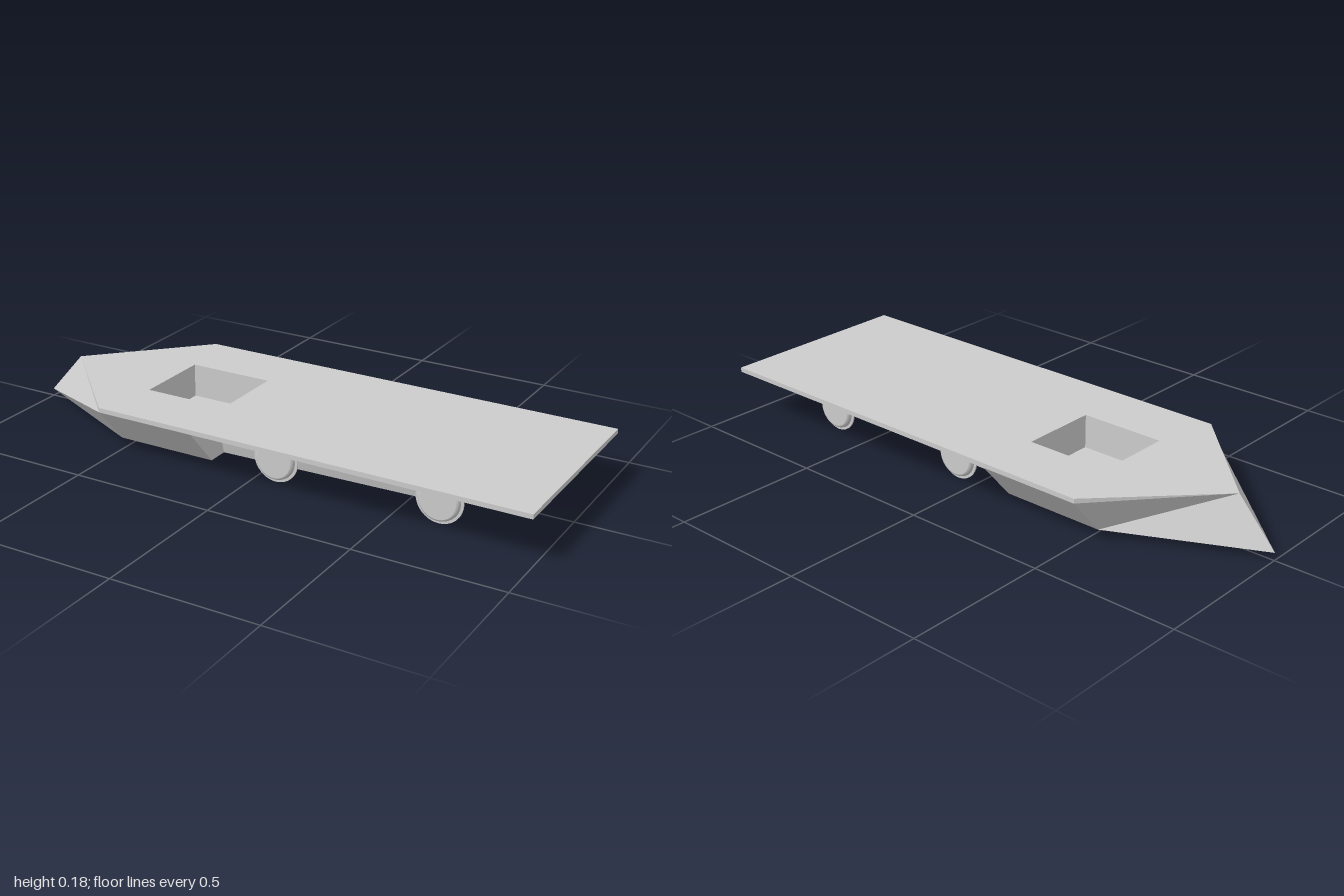
import * as THREE from 'three';

const TOP = 0.177, UNDER = 0.161, BELLY = 0.026;
const mat = new THREE.MeshStandardMaterial({ color: 0xcccccc, flatShading: true });
const smoothMat = new THREE.MeshStandardMaterial({ color: 0xcccccc });

const mirrorZ = ([x, y, z]) => [x, y, -z];

// Mesh from flat convex faces; each face is [corners, outward direction]
function faceMesh(name, faces) {
  const pos = [];
  for (const [corners, out] of faces) {
    const p = corners.map((c) => new THREE.Vector3(...c));
    const n = p[1].clone().sub(p[0]).cross(p[2].clone().sub(p[0]));
    if (n.dot(new THREE.Vector3(...out)) < 0) p.reverse();
    for (let i = 1; i < p.length - 1; i++) {
      for (const v of [p[0], p[i], p[i + 1]]) pos.push(v.x, v.y, v.z);
    }
  }
  const g = new THREE.BufferGeometry();
  g.setAttribute('position', new THREE.Float32BufferAttribute(pos, 3));
  g.computeVertexNormals();
  const mesh = new THREE.Mesh(g, mat);
  mesh.name = name;
  return mesh;
}

// Adds the mirrored copy of every face
const bothSides = (faces) =>
  faces.flatMap(([c, out]) => [[c, out], [c.map(mirrorZ), mirrorZ(out)]]);

export function createModel() {
  const model = new THREE.Group();
  model.name = 'flatRailCar';

  // Key points on the +z side
  const tip = [-1, BELLY, 0], apex = [-0.865, TOP, 0];
  const cornerTop = [-0.52, TOP, 0.35], corner = [-0.52, UNDER, 0.35];
  const chine = [-0.52, BELLY, 0.232];
  const stepTop = [-0.16, UNDER, 0.35], stepChine = [-0.16, BELLY, 0.232];
  const bodyTop = [-0.16, UNDER, 0.195], bodyLow = [-0.16, BELLY, 0.158];
  const endTop = [0.84, UNDER, 0.195], endLow = [0.65, 0.043, 0.162];

  // Deck surface with the opening of the well
  const [x0, x1, w, floorY] = [-0.47, -0.17, 0.137, 0.06];
  const outline = new THREE.Shape([
    [-0.865, 0], [-0.52, -0.35], [1, -0.35], [1, 0.35], [-0.52, 0.35],
  ].map(([x, y]) => new THREE.Vector2(x, y)));
  outline.holes.push(new THREE.Path([
    [x0, -w], [x0, w], [x1, w], [x1, -w],
  ].map(([x, y]) => new THREE.Vector2(x, y))));
  const deck = new THREE.Mesh(new THREE.ShapeGeometry(outline).rotateX(-Math.PI / 2), mat);
  deck.position.y = TOP;
  deck.name = 'deck';
  model.add(deck);

  // Deck rim, tapering to nothing at the nose, and the overhanging underside
  const rearTop = [1, TOP, 0.35], rear = [1, UNDER, 0.35];
  model.add(faceMesh('deckRim', [
    ...bothSides([
      [[apex, cornerTop, corner], [-1, 0, 1]],
      [[cornerTop, rearTop, rear, corner], [0, 0, 1]],
      [[stepTop, [0.84, UNDER, 0.35], endTop, bodyTop], [0, -1, 0]],
    ]),
    [[rearTop, rear, mirrorZ(rear), mirrorZ(rearTop)], [1, 0, 0]],
    [[[0.84, UNDER, 0.35], rear, mirrorZ(rear), [0.84, UNDER, -0.35]], [0, -1, 0]],
  ]));

  // Open well sunk into the deck
  model.add(faceMesh('well', [
    ...bothSides([[[[x0, TOP, w], [x1, TOP, w], [x1, floorY, w], [x0, floorY, w]], [0, 0, -1]]]),
    ...[[x0, 1], [x1, -1]].map(([x, s]) =>
      [[[x, TOP, w], [x, TOP, -w], [x, floorY, -w], [x, floorY, w]], [s, 0, 0]]),
    [[[x0, floorY, w], [x1, floorY, w], [x1, floorY, -w], [x0, floorY, -w]], [0, 1, 0]],
  ]));

  // Pointed nose: the two sides fold along different diagonals
  model.add(faceMesh('nose', [
    [[tip, apex, corner], [-1, 1, 1]],
    [[tip, corner, chine], [-1, -1, 1]],
    [[tip, apex, mirrorZ(chine)], [-1, 0, -1]],
    [[apex, mirrorZ(corner), mirrorZ(chine)], [-1, 0, -1]],
    [[tip, chine, mirrorZ(chine)], [0, -1, 0]],
  ]));

  // Wide forward hull and narrow hull between the wheels
  model.add(faceMesh('forwardHull', [
    ...bothSides([
      [[corner, stepTop, stepChine, chine], [0, -1, 1]],
      [[stepTop, stepChine, bodyLow, bodyTop], [1, 0, 0]],
    ]),
    [[chine, stepChine, mirrorZ(stepChine), mirrorZ(chine)], [0, -1, 0]],
  ]));
  model.add(faceMesh('narrowHull', [
    ...bothSides([[[bodyTop, endTop, endLow, bodyLow], [0, 0, 1]]]),
    [[bodyLow, endLow, mirrorZ(endLow), mirrorZ(bodyLow)], [0, -1, 0]],
    [[endTop, endLow, mirrorZ(endLow), mirrorZ(endTop)], [1, -1, 0]],
  ]));

  // Flanged wheels with stub axles; doubled profile points keep edges crisp
  const profile = [
    [0, 0], [0.08, 0], [0.08, 0], [0.08, 0.005], [0.08, 0.005], [0.071, 0.005],
    [0.071, 0.005], [0.069, 0.013], [0.066, 0.018], [0.061, 0.02], [0.061, 0.02], [0, 0.02],
  ].map(([r, y]) => new THREE.Vector2(r, y));
  const wheelGeo = new THREE.LatheGeometry(profile, 40).rotateX(Math.PI / 2);
  const axleGeo = new THREE.CylinderGeometry(0.011, 0.011, 0.08, 20, 1, true).rotateX(Math.PI / 2);
  for (const x of [0.075, 0.65]) {
    for (const side of [1, -1]) {
      const set = new THREE.Group();
      set.name = 'wheelSet';
      const wheel = new THREE.Mesh(wheelGeo, smoothMat);
      wheel.name = 'wheel';
      wheel.position.z = 0.212;
      const axle = new THREE.Mesh(axleGeo, smoothMat);
      axle.name = 'axle';
      axle.position.z = 0.173;
      set.add(wheel, axle);
      set.position.set(x, 0.08, 0);
      if (side < 0) set.rotation.y = Math.PI;
      model.add(set);
    }
  }
  return model;
}
